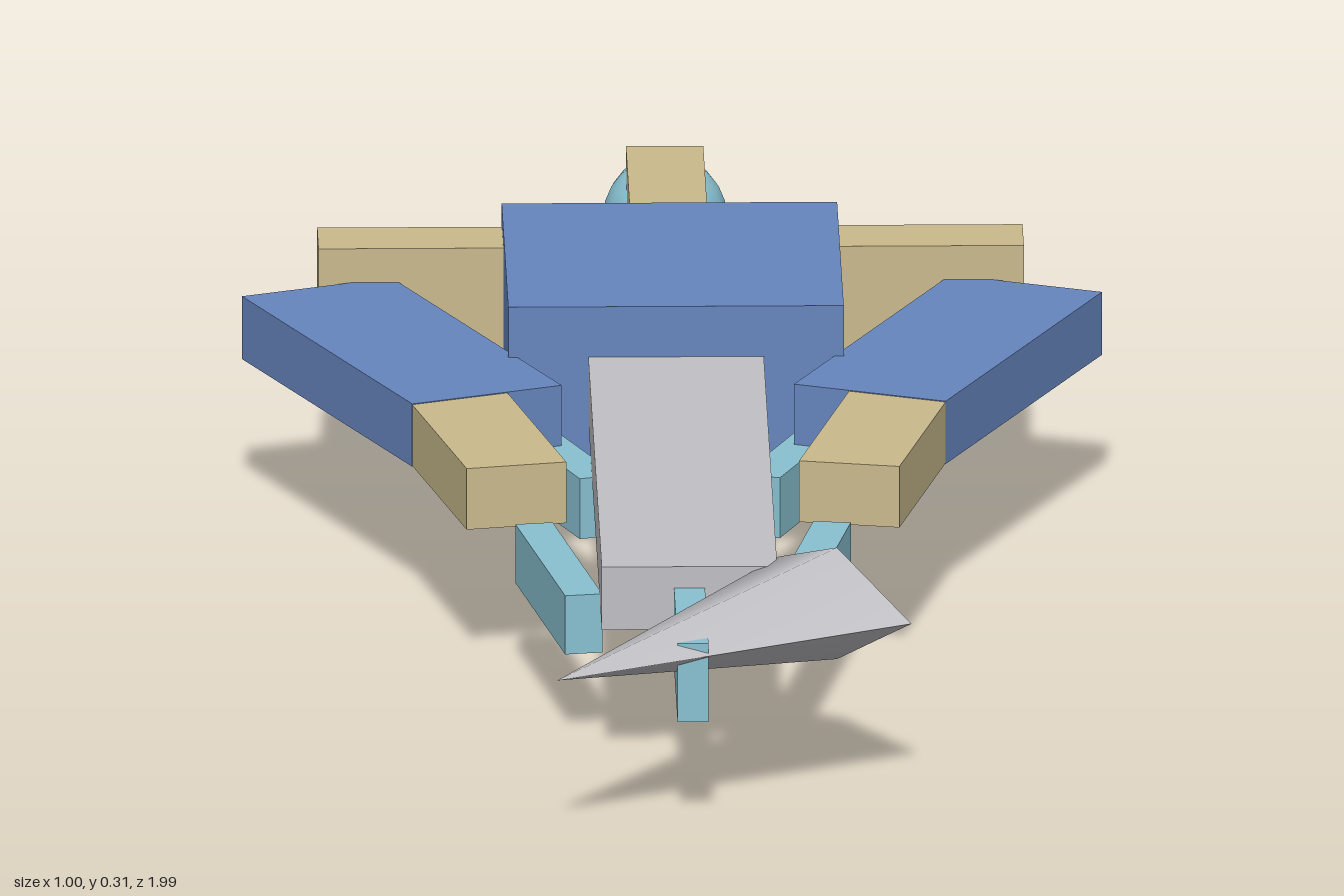
import * as THREE from 'three';
import { toCreasedNormals } from 'three/addons/utils/BufferGeometryUtils.js';

const material = (name, color) => {
  const m = new THREE.MeshStandardMaterial({ color });
  m.name = name;
  return m;
};

// Faceted spike: uneven five-sided base drawn to an off-centre tip,
// laid out on axes turned 45 degrees about the vertical
function spikeGeometry() {
  const base = [[0.724, 0.207], [0.604, 0.275], [0.51, 0.245], [0.51, 0.173], [0.604, 0.14]];
  const place = (u, y, v) => [(u + v) * Math.SQRT1_2, y, (u - v) * Math.SQRT1_2];
  const points = base.flatMap(([u, y]) => place(u, y, -0.362));
  points.push(...place(0.586, 0.205, -0.812), ...place(0.6, 0.207, -0.362));
  const index = [];
  for (let i = 0; i < 5; i++) {
    const next = (i + 1) % 5;
    index.push(i, next, 5, next, i, 6);
  }
  const geometry = new THREE.BufferGeometry();
  geometry.setAttribute('position', new THREE.Float32BufferAttribute(points, 3));
  geometry.setIndex(index);
  return toCreasedNormals(geometry, 1.3);
}

export function createModel() {
  const model = new THREE.Group();
  const blue = material('blue', 0x6685bd);
  const tan = material('tan', 0xc9b98c);
  const teal = material('teal', 0x88c0d0);
  const grey = material('grey', 0xc0c0c4);

  const add = (name, geometry, mat, x = 0, y = 0, z = 0) => {
    const mesh = new THREE.Mesh(geometry, mat);
    mesh.name = name;
    mesh.position.set(x, y, z);
    model.add(mesh);
    return mesh;
  };
  // Box given by its width, bottom, top and length
  const box = (name, mat, x, z, width, bottom, top, length) =>
    add(name, new THREE.BoxGeometry(width, top - bottom, length), mat, x, (bottom + top) / 2, z);
  const ball = (name, x, y, z, r) =>
    add(name, new THREE.SphereGeometry(r, 16, 12), teal, x, y, z);

  // Central hull, nose plank and the keel running beneath them
  box('hull', blue, 0, -0.425, 0.39, 0.105, 0.307, 0.43);
  box('nosePlank', grey, 0, 0.215, 0.204, 0.17, 0.246, 0.89);
  box('keel', teal, 0, 0.09, 0.036, 0.125, 0.22, 1.6);
  add('noseSpike', spikeGeometry(), grey);

  // Tail beam, its crosspiece and the shoulder beam
  box('tailBeam', tan, 0, -0.78, 0.09, 0.13, 0.285, 0.34);
  box('tailCrosspiece', tan, 0, -0.67, 0.212, 0.192, 0.235, 0.028);
  box('shoulderBeam', tan, 0, -0.568, 0.82, 0.125, 0.287, 0.088);

  // Balls under the hull and at the tail
  ball('bellyBall', 0, 0.108, -0.41, 0.107);
  ball('tailBall', 0, 0.207, -0.927, 0.072);

  // Mirrored wings, struts and wing balls
  for (const side of [1, -1]) {
    const label = side > 0 ? 'left' : 'right';
    const slanted = (name, mat, x, z, width, bottom, top, length, degrees) => {
      const mesh = box(label + name, mat, side * x, z, width, bottom, top, length);
      mesh.rotation.y = -side * THREE.MathUtils.degToRad(degrees);
    };
    slanted('Wing', blue, 0.3175, -0.282, 0.19, 0.17, 0.246, 0.488, 22.9);
    slanted('WingTip', tan, 0.231, 0.062, 0.119, 0.171, 0.245, 0.35, 12.4);
    slanted('RearStrut', teal, 0.19, -0.222, 0.046, 0.1, 0.173, 0.55, 20.3);
    slanted('FrontStrut', teal, 0.147, 0.393, 0.044, 0.107, 0.178, 0.302, 10);
    ball(label + 'WingBall', side * 0.37, 0.152, -0.545, 0.051);
  }
  return model;
}
